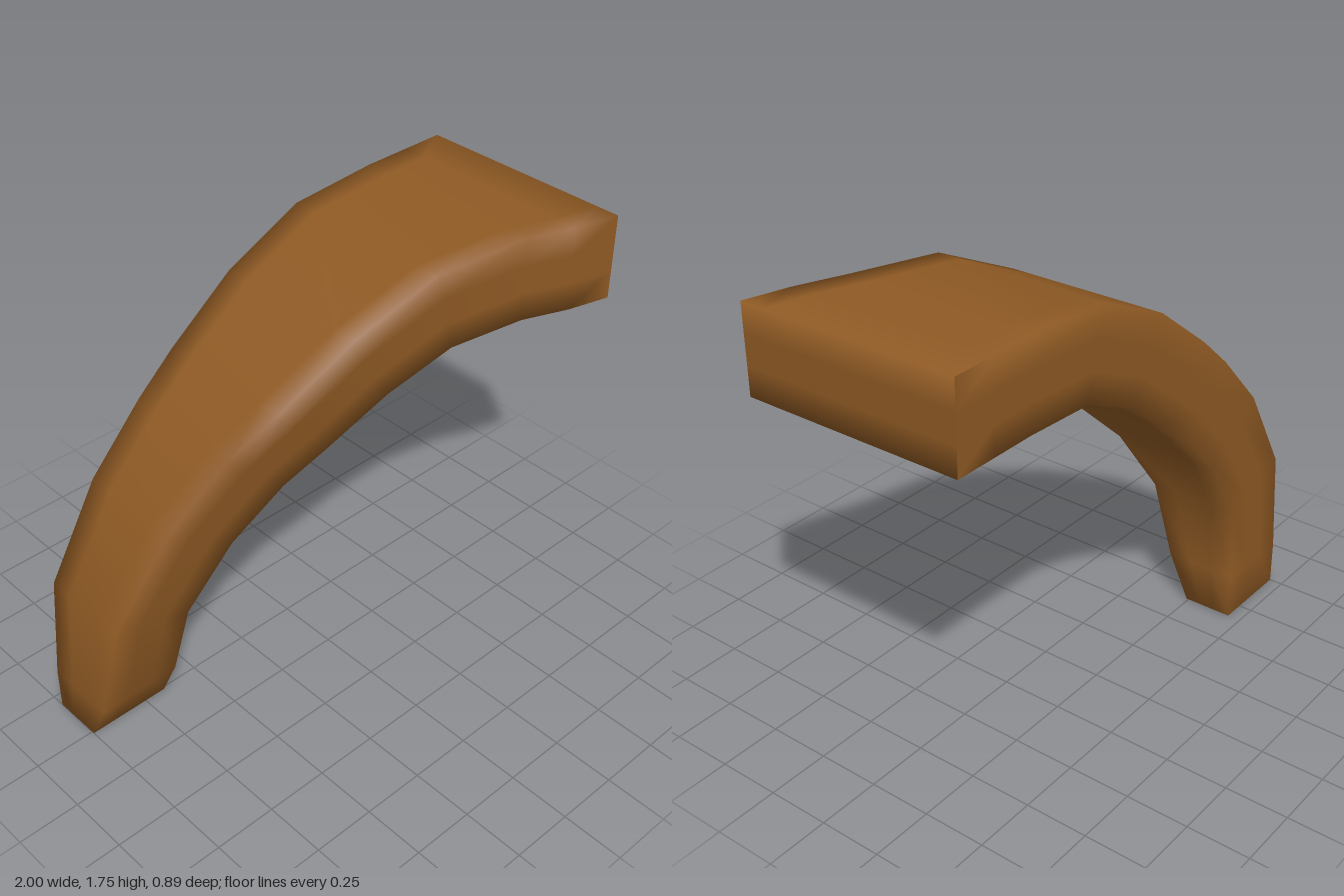
import * as THREE from 'three';
import { mergeVertices } from 'three/addons/utils/BufferGeometryUtils.js';

// Sections along the arch: outer x, outer y, inner x, inner y, front z
const sections = [
  [-1, 0, -0.66, 0, -0.24],
  [-1, 0.18, -0.66, 0.19, -0.15],
  [-0.96, 0.61, -0.635, 0.51, -0.075],
  [-0.74, 0.98, -0.465, 0.785, -0.01],
  [-0.51, 1.22, -0.27, 0.98, 0.055],
  [-0.35, 1.36, -0.12, 1.11, 0.125],
  [-0.07, 1.57, 0.1, 1.275, 0.2],
  [0.26, 1.72, 0.35, 1.39, 0.265],
  [0.63, 1.745, 0.65, 1.405, 0.33],
  [0.82, 1.745, 0.83, 1.405, 0.4],
  [1, 1.745, 1, 1.405, 0.445],
];
const BACK = -0.445;

function bentBar() {
  const last = sections.length - 1;
  const geo = new THREE.BoxGeometry(1, 1, 1, last, 3, 3);
  const pos = geo.attributes.position;
  const normal = geo.attributes.normal;
  const crease = new Float32Array(pos.count);

  for (let i = 0; i < pos.count; i++) {
    const s = Math.round((pos.getX(i) + 0.5) * last);
    const t = pos.getY(i) + 0.5; // inner to outer
    const row = Math.round((pos.getZ(i) + 0.5) * 3); // back to front
    const [ox, oy, ix, iy, front] = sections[s];
    const inset = Math.min(0.1, (front - BACK) / 3);
    const z = [BACK, BACK + inset, front - inset, front][row];
    pos.setXYZ(i, ix + (ox - ix) * t, iy + (oy - iy) * t, z);
    // keep the upright edges of the wide end sharp
    if (s === last && Math.abs(normal.getZ(i)) > 0.5) crease[i] = 1;
  }

  // weld the faces so the other edges shade softly
  geo.deleteAttribute('normal');
  geo.deleteAttribute('uv');
  geo.clearGroups();
  geo.setAttribute('crease', new THREE.BufferAttribute(crease, 1));
  const welded = mergeVertices(geo, 1e-4);
  welded.deleteAttribute('crease');
  welded.computeVertexNormals();
  return welded;
}

export function createModel() {
  const brown = new THREE.MeshStandardMaterial({ color: 0x8f5a24 });
  brown.name = 'brown';
  const group = new THREE.Group();
  group.name = 'curvedBracket';
  const arch = new THREE.Mesh(bentBar(), brown);
  arch.name = 'taperedArch';
  group.add(arch);
  return group;
}
